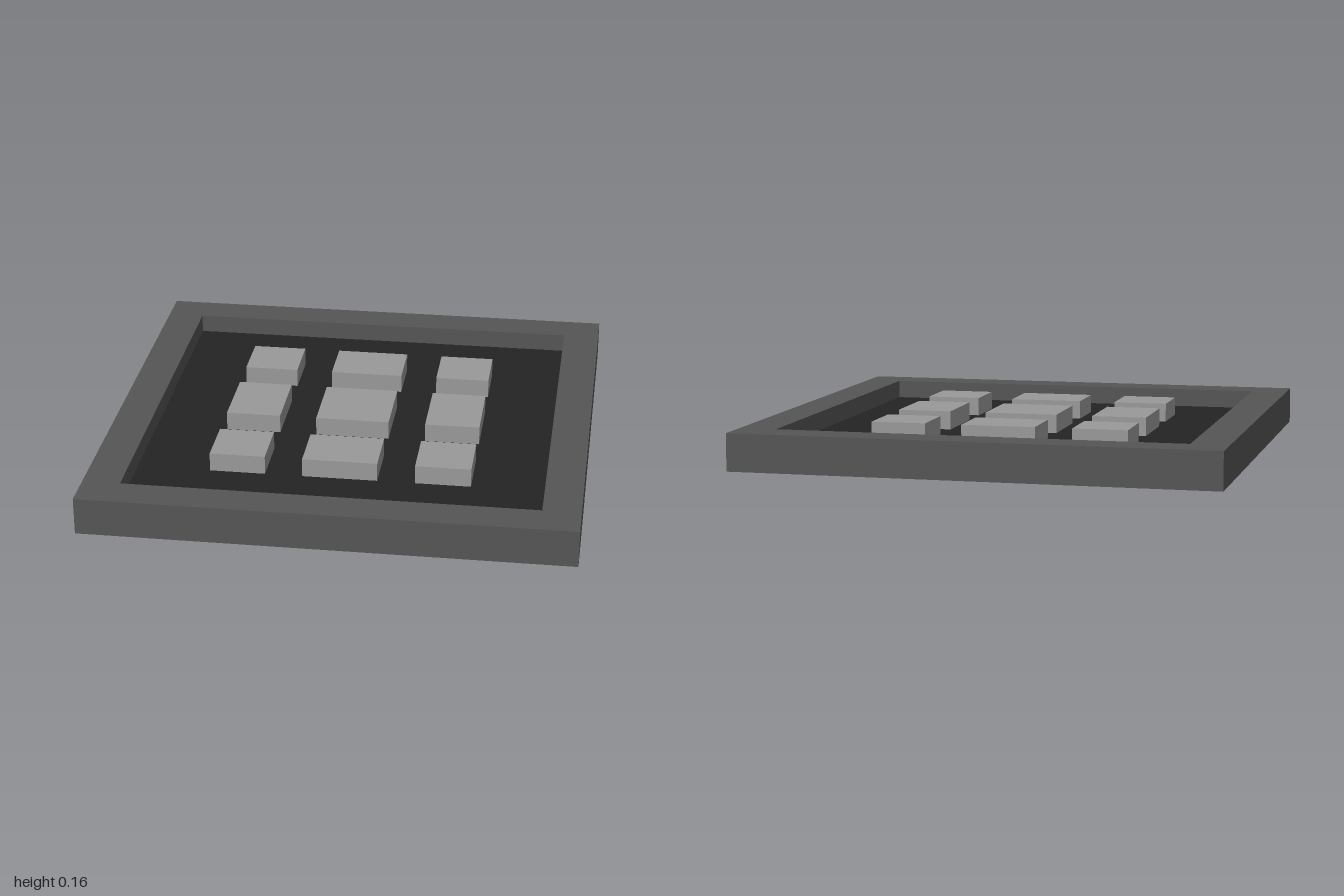
import * as THREE from 'three';

const HEIGHT = 0.155, FLOOR = 0.077, OUTER = 1, INNER = 0.845;

// Square outline of half-size h, with optional rounded corners of radius r
function square(h, r = 0, Type = THREE.Shape) {
  const s = new Type();
  if (r === 0) {
    s.setFromPoints([[-h, -h], [h, -h], [h, h], [-h, h]].map(([x, y]) => new THREE.Vector2(x, y)));
    s.closePath();
    return s;
  }
  const c = h - r;
  s.absarc(c, c, r, 0, Math.PI / 2);
  s.absarc(-c, c, r, Math.PI / 2, Math.PI);
  s.absarc(-c, -c, r, Math.PI, Math.PI * 1.5);
  s.absarc(c, -c, r, Math.PI * 1.5, Math.PI * 2);
  s.closePath();
  return s;
}

// Upright slab of a shape between heights y0 and y1
function slab(name, shape, y0, y1, material) {
  const g = new THREE.ExtrudeGeometry(shape, { depth: y1 - y0, bevelEnabled: false, curveSegments: 5 });
  g.rotateX(-Math.PI / 2).translate(0, y0, 0);
  const mesh = new THREE.Mesh(g, material);
  mesh.name = name;
  return mesh;
}

function ring(hole) {
  const s = square(OUTER);
  s.holes.push(hole);
  return s;
}

export function createModel() {
  const frameGrey = new THREE.MeshStandardMaterial({ name: 'frameGrey', color: 0x555555 });
  const floorBlack = new THREE.MeshStandardMaterial({ name: 'floorBlack', color: 0x242424 });
  const blockGrey = new THREE.MeshStandardMaterial({ name: 'blockGrey', color: 0x999999 });

  const model = new THREE.Group();
  model.name = 'framedPanel';

  // Frame: base with softened opening, and a sharp-cornered rim above
  const base = FLOOR - 0.007, r = 0.05;
  model.add(slab('frameBase', ring(square(INNER, r, THREE.Path)), 0, base, frameGrey));
  model.add(slab('frameRim', ring(square(INNER, 0, THREE.Path)), base, HEIGHT, frameGrey));

  // Recessed floor, flush with the underside
  model.add(slab('floorUnderside', square(INNER, r), 0, base, floorBlack));
  model.add(slab('floor', square(INNER), base, FLOOR, floorBlack));

  // Three by three raised blocks, wider along the middle row and column
  const cells = [[-0.425, 0.23], [0, 0.31], [0.425, 0.23]];
  const blocks = new THREE.Group();
  blocks.name = 'blocks';
  for (const [x, w] of cells) {
    for (const [z, d] of cells) {
      const block = new THREE.Mesh(new THREE.BoxGeometry(w, HEIGHT - FLOOR, d), blockGrey);
      block.position.set(x, (HEIGHT + FLOOR) / 2, z);
      block.name = 'block';
      blocks.add(block);
    }
  }
  model.add(blocks);
  return model;
}
